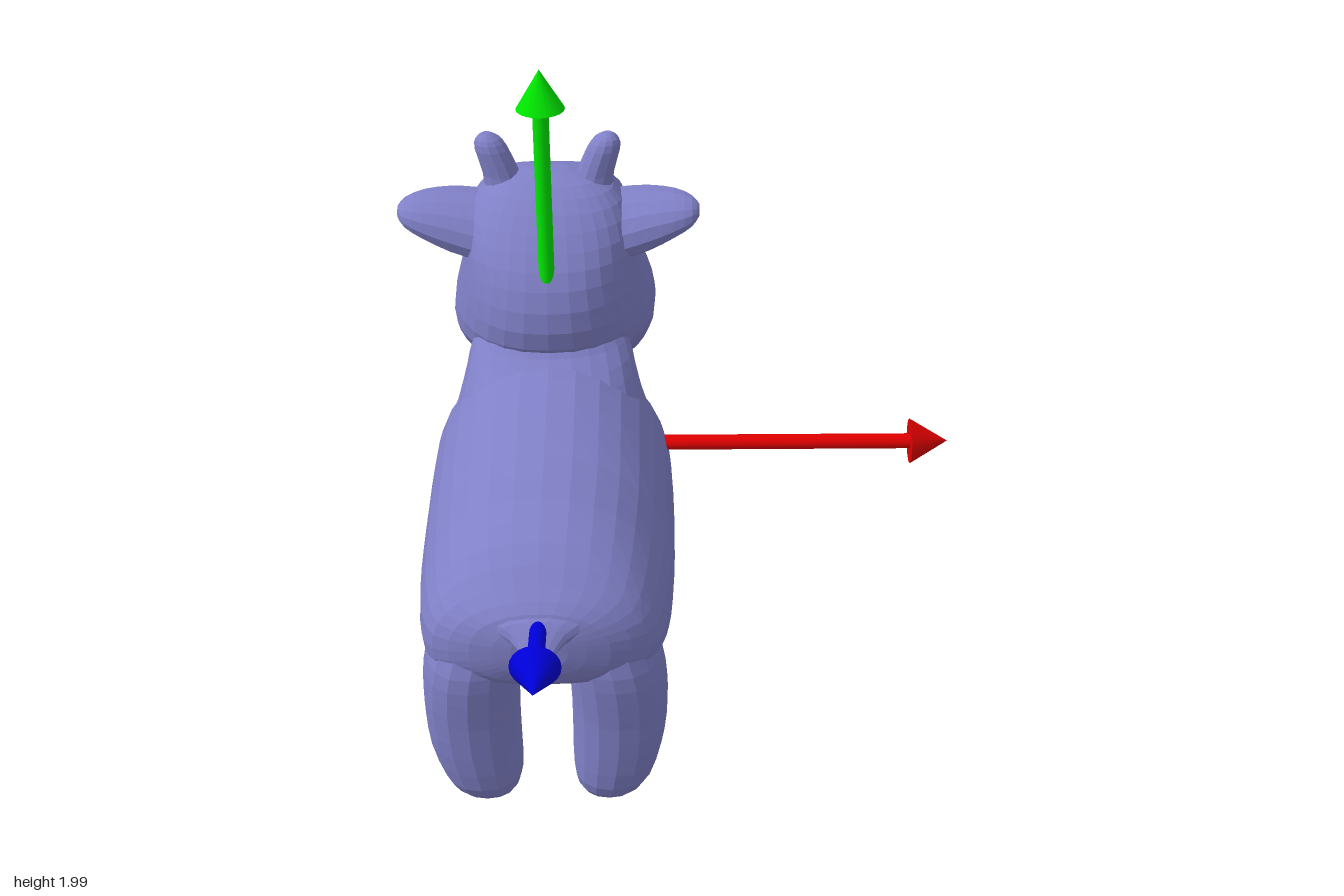
import * as THREE from 'three';

const CX = -0.395; // the animal's mid-plane

// Catmull-Rom blend of four rows of numbers
function blend(a, b, c, d, t) {
  return b.map((v, i) => v + 0.5 * t * (c[i] - a[i] + t * (2 * a[i] - 5 * v + 4 * c[i] - d[i] + t * (3 * (v - c[i]) + d[i] - a[i]))));
}

// Lofts rounded sections along an axis.
// Row: [along, centre w, half width w, centre u, u max, u min]
// nHi, nLo = squareness of the +u and -u halves
function loft(axis, rows, sides, nHi = 2, nLo = nHi, steps = 2) {
  const rings = [];
  for (let i = 0; i < rows.length - 1; i++) {
    for (let s = 0; s < steps; s++) {
      rings.push(blend(rows[Math.max(i - 1, 0)], rows[i], rows[i + 1], rows[Math.min(i + 2, rows.length - 1)], s / steps));
    }
  }
  rings.push(rows[rows.length - 1]);
  const place = { x: (l, w, u) => [l, u, w], y: (l, w, u) => [w, l, u], z: (l, w, u) => [w, u, l] }[axis];
  const pos = [], index = [];
  const bend = (v, n) => Math.sign(v) * Math.abs(v) ** (2 / n);
  for (const [l, cw, hw, cu, hi, lo] of rings) {
    for (let j = 0; j < sides; j++) {
      const a = (j / sides) * Math.PI * 2;
      const n = Math.sin(a) > 0 ? nHi : nLo;
      const u = bend(Math.sin(a), n);
      pos.push(...place(l, cw + hw * bend(Math.cos(a), n), cu + u * (u > 0 ? hi - cu : cu - lo)));
    }
  }
  // end points closing the loft
  for (const r of [rings[0], rings[rings.length - 1]]) pos.push(...place(r[0], r[1], r[3]));
  const tri = (a, b, c) => index.push(a, b, c);
  const ends = rings.length * sides;
  for (let j = 0; j < sides; j++) {
    const k = (j + 1) % sides;
    for (let i = 0; i < rings.length - 1; i++) {
      const p = i * sides, q = p + sides;
      tri(p + j, p + k, q + k);
      tri(p + j, q + k, q + j);
    }
    tri(ends, k, j);
    tri(ends + 1, ends - sides + j, ends - sides + k);
  }
  // keep faces outward whichever way the rows run
  let volume = 0;
  const at = (i) => new THREE.Vector3().fromArray(pos, i * 3);
  for (let i = 0; i < index.length; i += 3) volume += at(index[i]).dot(at(index[i + 1]).cross(at(index[i + 2])));
  if (volume < 0) index.reverse();
  const g = new THREE.BufferGeometry();
  g.setAttribute('position', new THREE.Float32BufferAttribute(pos, 3));
  g.setIndex(index);
  g.computeVertexNormals();
  return g;
}

export function createModel() {
  const model = new THREE.Group();
  const material = (name, color, flatShading = false) => new THREE.MeshStandardMaterial({ name, color, flatShading });
  const hide = material('lavender', 0x8080c8, true);
  const cow = new THREE.Group();
  cow.name = 'cow';
  cow.position.x = CX;
  model.add(cow);
  const part = (name, geometry) => {
    const m = new THREE.Mesh(geometry, hide);
    m.name = name;
    cow.add(m);
  };

  // trunk, from rump to chest, with a fuller underside
  part('body', loft('z', [
    [0.685, 0, 0.08, 0.67, 0.72, 0.61],
    [0.66, 0, 0.2, 0.65, 0.78, 0.54],
    [0.6, 0, 0.31, 0.62, 0.835, 0.49],
    [0.5, 0, 0.35, 0.6, 0.912, 0.44],
    [0.35, 0, 0.37, 0.58, 0.96, 0.31],
    [0.15, 0, 0.383, 0.55, 0.973, 0.213],
    [-0.05, 0, 0.385, 0.55, 1.045, 0.245],
    [-0.25, 0, 0.383, 0.58, 1.065, 0.34],
    [-0.36, 0, 0.368, 0.62, 1.02, 0.39],
    [-0.43, 0, 0.33, 0.65, 0.95, 0.45],
    [-0.495, 0, 0.22, 0.68, 0.85, 0.55],
    [-0.52, 0, 0.08, 0.7, 0.77, 0.64],
  ], 32, 2.15, 2.7));

  // neck, flaring into the shoulders
  part('neck', loft('y', [
    [0.6, 0, 0.34, -0.25, -0.05, -0.47],
    [0.72, 0, 0.345, -0.26, 0, -0.515],
    [0.82, 0, 0.325, -0.28, 0, -0.53],
    [0.91, 0, 0.292, -0.31, -0.03, -0.54],
    [1.0, 0, 0.265, -0.36, -0.12, -0.56],
    [1.08, 0, 0.242, -0.4, -0.24, -0.58],
    [1.2, 0, 0.17, -0.45, -0.34, -0.65],
  ], 24, 2.1));

  // head, from jaw to crown, widest and squarest at the muzzle
  part('head', loft('y', [
    [0.845, 0, 0.16, -0.74, -0.66, -0.81],
    [0.87, 0, 0.255, -0.75, -0.55, -0.875],
    [0.95, 0, 0.312, -0.76, -0.44, -0.94],
    [1.05, 0, 0.33, -0.75, -0.28, -0.965],
    [1.17, 0, 0.307, -0.68, -0.235, -0.935],
    [1.3, 0, 0.275, -0.58, -0.26, -0.87],
    [1.4, 0, 0.262, -0.55, -0.32, -0.82],
    [1.49, 0, 0.23, -0.56, -0.4, -0.755],
    [1.55, 0, 0.165, -0.57, -0.48, -0.68],
    [1.575, 0, 0.06, -0.57, -0.54, -0.6],
  ], 32, 2.3, 3));

  // tail
  part('tail', loft('z', [
    [0.56, 0, 0.24, 0.74, 0.81, 0.64],
    [0.65, 0, 0.15, 0.735, 0.78, 0.67],
    [0.69, 0, 0.08, 0.715, 0.75, 0.675],
    [0.725, 0, 0.045, 0.685, 0.705, 0.66],
    [0.752, 0, 0.025, 0.66, 0.675, 0.645],
  ], 14));

  // leg rows from hoof to hip: height, offset, radius across, radius along
  const leg = [
    [0.008, 0.195, 0.05, 0.05], [0.03, 0.2, 0.092, 0.09], [0.09, 0.212, 0.125, 0.125],
    [0.22, 0.23, 0.145, 0.142], [0.34, 0.235, 0.15, 0.152], [0.44, 0.232, 0.152, 0.164],
    [0.54, 0.22, 0.15, 0.17], [0.64, 0.19, 0.14, 0.145], [0.72, 0.16, 0.08, 0.08],
  ];
  for (const [side, s] of [['left', 1], ['right', -1]]) {
    for (const [end, z, inset, slim] of [['front', -0.257, 0, 1], ['hind', 0.487, 0.017, 0.94]]) {
      part(`${end} leg ${side}`, loft('y', leg.map(([y, x, rx, rz]) => [y, s * (x - inset), rx * slim, z, z + rz, z - rz]), 16, 2.2));
    }

    // ear, tapering outward, its section slanting forward at the top
    const ear = loft('x', [
      [0.15, -0.54, 0.095, 1.4, 1.49, 1.28],
      [0.23, -0.545, 0.105, 1.41, 1.5, 1.31],
      [0.31, -0.54, 0.1, 1.43, 1.505, 1.335],
      [0.39, -0.525, 0.08, 1.445, 1.503, 1.375],
      [0.445, -0.51, 0.05, 1.455, 1.49, 1.41],
      [0.468, -0.505, 0.015, 1.455, 1.47, 1.44],
    ].map(([x, ...rest]) => [s * x, ...rest]), 14);
    ear.applyMatrix4(new THREE.Matrix4().makeShear(0, 0, 0, -0.5, 0, 0)).translate(0, 0, 0.5 * 1.43);
    part(`ear ${side}`, ear);

    // horn, leaning outward
    part(`horn ${side}`, loft('y', [
      [1.48, 0.13, 0.07], [1.56, 0.145, 0.058], [1.64, 0.172, 0.052], [1.675, 0.182, 0.038], [1.692, 0.186, 0.014],
    ].map(([y, x, r]) => [y, s * x, r, -0.572, -0.572 + r * 0.95, -0.572 - r * 0.95]), 12));
  }

  // axis arrows meeting inside the chest
  const arrow = (name, mat, rx, rz) => {
    const g = new THREE.Group();
    g.name = name;
    const shaft = new THREE.Mesh(new THREE.CylinderGeometry(0.024, 0.024, 1.14, 20), mat);
    shaft.name = 'shaft';
    shaft.position.y = 0.57;
    const tip = new THREE.Mesh(new THREE.ConeGeometry(0.072, 0.12, 20), mat);
    tip.name = 'tip';
    tip.position.y = 1.2;
    g.add(shaft, tip);
    g.position.set(CX, 0.742, -0.297);
    g.rotation.set(rx, 0, rz);
    model.add(g);
  };
  arrow('upArrow', material('green', 0x00e600), 0, 0);
  arrow('sideArrow', material('red', 0xe00000), 0, -Math.PI / 2);
  arrow('depthArrow', material('blue', 0x0000d8), Math.PI / 2, 0);

  return model;
}
